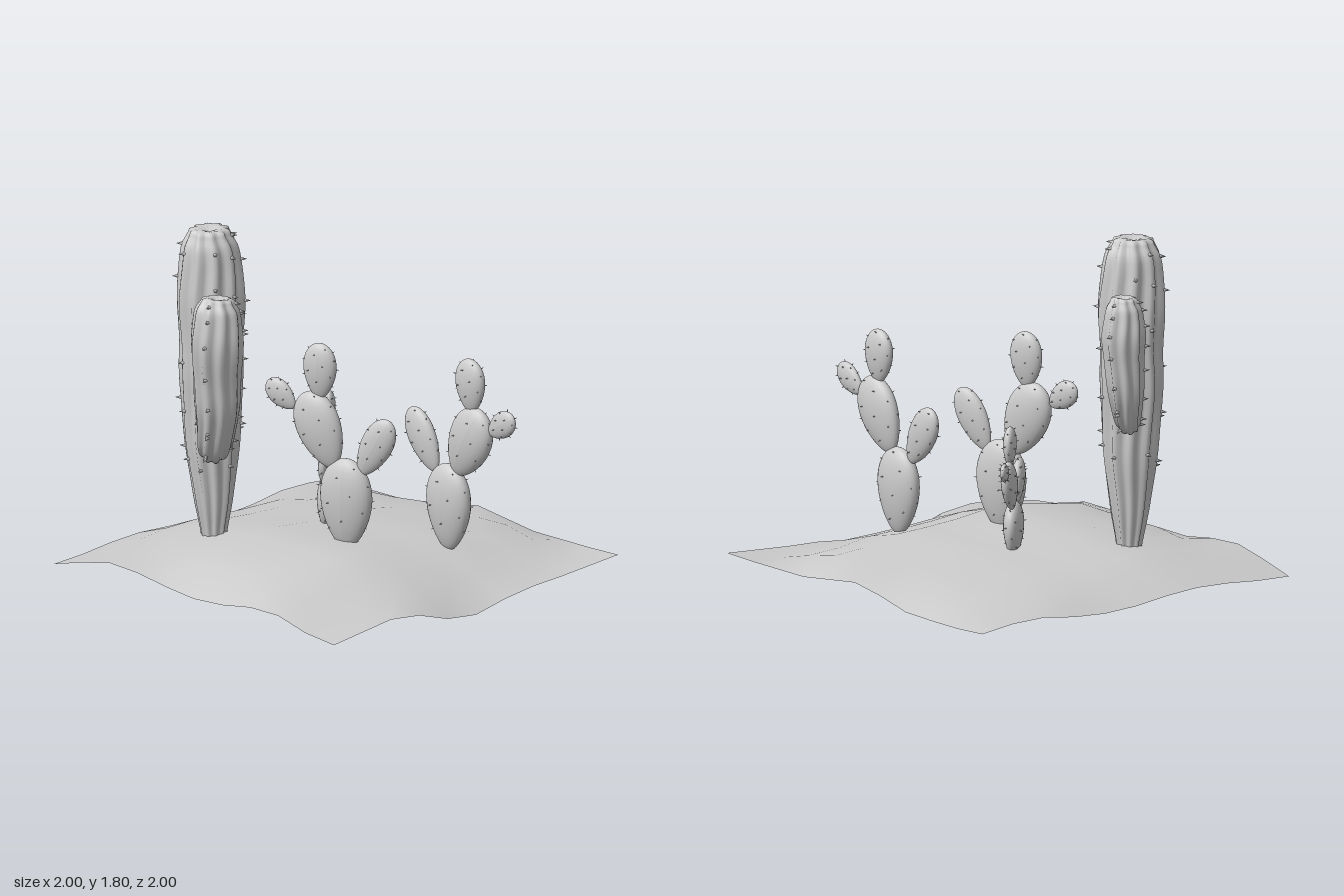
import * as THREE from 'three';
import { mergeGeometries } from 'three/addons/utils/BufferGeometryUtils.js';

const material = new THREE.MeshStandardMaterial({ color: 0xcccccc, side: THREE.DoubleSide });
const UP = new THREE.Vector3(0, 1, 0);

function addMesh(parent, name, geometry) {
  const mesh = new THREE.Mesh(geometry, material);
  mesh.name = name;
  parent.add(mesh);
  return mesh;
}

// A small cone standing on a surface point
function spike(position, direction, length, radius) {
  const cone = new THREE.ConeGeometry(radius, length, 5);
  cone.translate(0, length * 0.35, 0);
  cone.applyQuaternion(new THREE.Quaternion().setFromUnitVectors(UP, direction));
  return cone.translate(position.x, position.y, position.z);
}

// Sandy mound: product of two silhouettes, with its own wavy border
function createGround() {
  const acrossX = [0.15, 0.19, 0.22, 0.255, 0.26, 0.24, 0.23, 0.225, 0.19, 0.18, 0.15];
  const acrossZ = [0.11, 0.16, 0.205, 0.22, 0.25, 0.25, 0.25, 0.255, 0.2, 0.13, 0.1];
  const back = [0.05, 0.06, 0.08, 0.09, 0.08, 0.06, 0.055, 0.07, 0.1, 0.1, 0.08];
  const front = [0.05, 0.075, 0.1, 0.08, 0.02, 0, 0.04, 0.065, 0.075, 0.09, 0.105];
  const left = [0.08, 0.07, 0.07, 0.075, 0.12, 0.15, 0.125, 0.1, 0.1, 0.1, 0.105];
  const right = [0.05, 0.1, 0.14, 0.13, 0.1, 0.08, 0.09, 0.12, 0.12, 0.07, 0.05];
  const geometry = new THREE.PlaneGeometry(2, 2, 10, 10).rotateX(-Math.PI / 2);
  const p = geometry.attributes.position;
  for (let k = 0; k < p.count; k++) {
    const i = k % 11, j = Math.floor(k / 11);
    let h = acrossX[i] * acrossZ[j] / 0.26;
    if (i === 0) h = right[j];
    if (i === 10) h = left[j];
    if (j === 0) h = back[i];
    if (j === 10) h = front[i];
    p.setY(k, h);
  }
  geometry.computeVertexNormals();
  return geometry;
}

// Ribbed stem swept along a path; each station is [x, y, z, radius]
function createStem(name, stations, ribs, rings, thornCount) {
  const points = stations.map(s => new THREE.Vector3(s[0], s[1], s[2]));
  const path = new THREE.CatmullRomCurve3(points);
  const radii = new THREE.SplineCurve(stations.map((s, i) => new THREE.Vector2(i, s[3])));
  const lean = points[points.length - 1].clone().sub(points[0]).setY(0);
  const side = new THREE.Vector3().crossVectors(UP, lean).normalize();
  const segments = ribs * 6;

  function surface(t, angle, scale = 1, lift = 0) {
    const tangent = path.getTangent(t);
    const across = side.clone().addScaledVector(tangent, -side.dot(tangent)).normalize();
    const normal = new THREE.Vector3().crossVectors(tangent, across);
    const turn = angle + 0.05 * Math.sin(t * 17);
    const outward = across.multiplyScalar(Math.cos(turn)).addScaledVector(normal, Math.sin(turn));
    const flute = 0.92 + 0.08 * Math.cos(ribs * angle) + 0.012 * Math.sin(t * 30);
    const position = path.getPoint(t).addScaledVector(tangent, lift)
      .addScaledVector(outward, radii.getPoint(t).y * flute * scale);
    return { position, outward };
  }

  // Side rings, then a rounded rim and a shallow dimple on top
  const rows = [];
  for (let i = 0; i <= rings; i++) rows.push([i / rings, 1, 0]);
  rows.push([1, 0.75, 0.008], [1, 0.45, 0.004], [1, 0.001, -0.012]);
  const vertices = [], index = [];
  rows.forEach(([t, scale, lift], i) => {
    for (let j = 0; j < segments; j++) {
      const { position } = surface(t, j / segments * Math.PI * 2, scale, lift);
      vertices.push(position.x, position.y, position.z);
      if (i === rows.length - 1) continue;
      const a = i * segments + j, b = i * segments + (j + 1) % segments;
      index.push(a, b, a + segments, b, b + segments, a + segments);
    }
  });
  const geometry = new THREE.BufferGeometry();
  geometry.setAttribute('position', new THREE.Float32BufferAttribute(vertices, 3));
  geometry.setIndex(index);
  geometry.computeVertexNormals();

  // Thorns scattered along the rib crests
  const thorns = [];
  for (let k = 0; k < thornCount; k++) {
    const t = 0.2 + 0.78 * ((k * 0.618) % 1);
    const { position, outward } = surface(t, (k * 3 % ribs) / ribs * Math.PI * 2);
    thorns.push(spike(position, outward, 0.034, 0.011));
  }
  const group = new THREE.Group();
  group.name = name;
  addMesh(group, name + 'Body', geometry);
  addMesh(group, name + 'Thorns', mergeGeometries(thorns));
  return group;
}

// Flattened egg-shaped pad, narrow at its base, lying in the local y-z plane
function createPad(name, length, halfWidth) {
  const egg = v => {
    const w = halfWidth * (1 + 0.2 * v.y - 0.06 * v.y * v.y);
    return new THREE.Vector3(v.x * w * 0.46, (v.y + 1) * length / 2, v.z * w);
  };
  const body = new THREE.SphereGeometry(1, 28, 20);
  const p = body.attributes.position;
  const v = new THREE.Vector3();
  for (let i = 0; i < p.count; i++) {
    const e = egg(v.fromBufferAttribute(p, i));
    p.setXYZ(i, e.x, e.y, e.z);
  }
  body.computeVertexNormals();

  // Fine spines spread evenly by the golden angle
  const spines = [], count = 22;
  for (let k = 0; k < count; k++) {
    const y = 0.9 - 1.6 * k / count, r = Math.sqrt(1 - y * y), a = k * 2.4;
    const dir = new THREE.Vector3(r * Math.cos(a), y, r * Math.sin(a));
    const normal = new THREE.Vector3(dir.x / (halfWidth * 0.46), dir.y * 2 / length, dir.z / halfWidth);
    spines.push(spike(egg(dir), normal.normalize(), 0.016, 0.004));
  }
  const group = new THREE.Group();
  group.name = name;
  addMesh(group, 'padBody', body);
  addMesh(group, 'padSpines', mergeGeometries(spines));
  return group;
}

// Pads as [base z, base y, tip z, tip y, half width], all in one turned plane
function createPadCactus(name, x, z, yaw, pads) {
  const group = new THREE.Group();
  group.name = name;
  group.position.set(x, 0, z);
  group.rotation.y = yaw;
  pads.forEach(([z0, y0, z1, y1, halfWidth], i) => {
    const u0 = (z0 - z) / Math.cos(yaw), u1 = (z1 - z) / Math.cos(yaw);
    const pad = createPad('pad' + (i + 1), Math.hypot(u1 - u0, y1 - y0), halfWidth);
    pad.position.set(0, y0, u0);
    pad.rotation.x = Math.atan2(u1 - u0, y1 - y0);
    group.add(pad);
  });
  return group;
}

export function createModel() {
  const model = new THREE.Group();
  model.name = 'desertCacti';
  addMesh(model, 'ground', createGround());

  // Tall ribbed cactus with two raised arms
  const tall = new THREE.Group();
  tall.name = 'tallCactus';
  tall.add(
    createStem('trunk', [
      [-0.41, 0.17, -0.455, 0.062], [-0.41, 0.4, -0.46, 0.102], [-0.41, 0.6, -0.465, 0.132],
      [-0.41, 0.8, -0.47, 0.152], [-0.41, 1.0, -0.475, 0.16], [-0.41, 1.2, -0.475, 0.165],
      [-0.41, 1.4, -0.475, 0.174], [-0.412, 1.58, -0.478, 0.166], [-0.415, 1.71, -0.48, 0.142],
      [-0.418, 1.79, -0.48, 0.105]], 10, 40, 40),
    createStem('rightArm', [
      [-0.45, 0.69, -0.43, 0.055], [-0.55, 0.695, -0.32, 0.07], [-0.635, 0.78, -0.22, 0.092],
      [-0.685, 0.95, -0.155, 0.112], [-0.71, 1.15, -0.13, 0.125], [-0.73, 1.36, -0.11, 0.134],
      [-0.728, 1.5, -0.11, 0.118], [-0.722, 1.565, -0.11, 0.085]], 9, 36, 28),
    createStem('leftArm', [
      [-0.34, 0.88, -0.55, 0.045], [-0.26, 0.885, -0.64, 0.052], [-0.19, 0.94, -0.71, 0.068],
      [-0.14, 1.08, -0.755, 0.09], [-0.115, 1.28, -0.77, 0.105], [-0.108, 1.42, -0.775, 0.112],
      [-0.108, 1.53, -0.775, 0.095], [-0.11, 1.59, -0.775, 0.068]], 9, 36, 24));
  model.add(tall);

  // Three pad cacti, each with a base pad, a second tier and small offshoots
  model.add(
    createPadCactus('frontPadCactus', 0.28, 0.52, 0, [
      [0.52, 0.18, 0.52, 0.63, 0.143], [0.57, 0.59, 0.76, 0.95, 0.132],
      [0.68, 0.93, 0.67, 1.21, 0.095], [0.81, 0.85, 0.985, 0.965, 0.065],
      [0.43, 0.57, 0.25, 0.87, 0.09]]),
    createPadCactus('middlePadCactus', -0.115, 0.19, 0.264, [
      [0.19, 0.2, 0.19, 0.67, 0.144], [0.12, 0.61, -0.035, 0.985, 0.126],
      [0.04, 0.96, 0.045, 1.25, 0.092], [-0.1, 0.89, -0.25, 1.01, 0.065],
      [0.27, 0.6, 0.435, 0.9, 0.085]]),
    createPadCactus('backPadCactus', 0.105, -0.17, -0.863, [
      [-0.17, 0.17, -0.17, 0.46, 0.108], [-0.19, 0.43, -0.295, 0.69, 0.085],
      [-0.24, 0.66, -0.245, 0.87, 0.07], [-0.3, 0.635, -0.385, 0.7, 0.045],
      [-0.14, 0.42, -0.035, 0.63, 0.07]]));
  return model;
}
